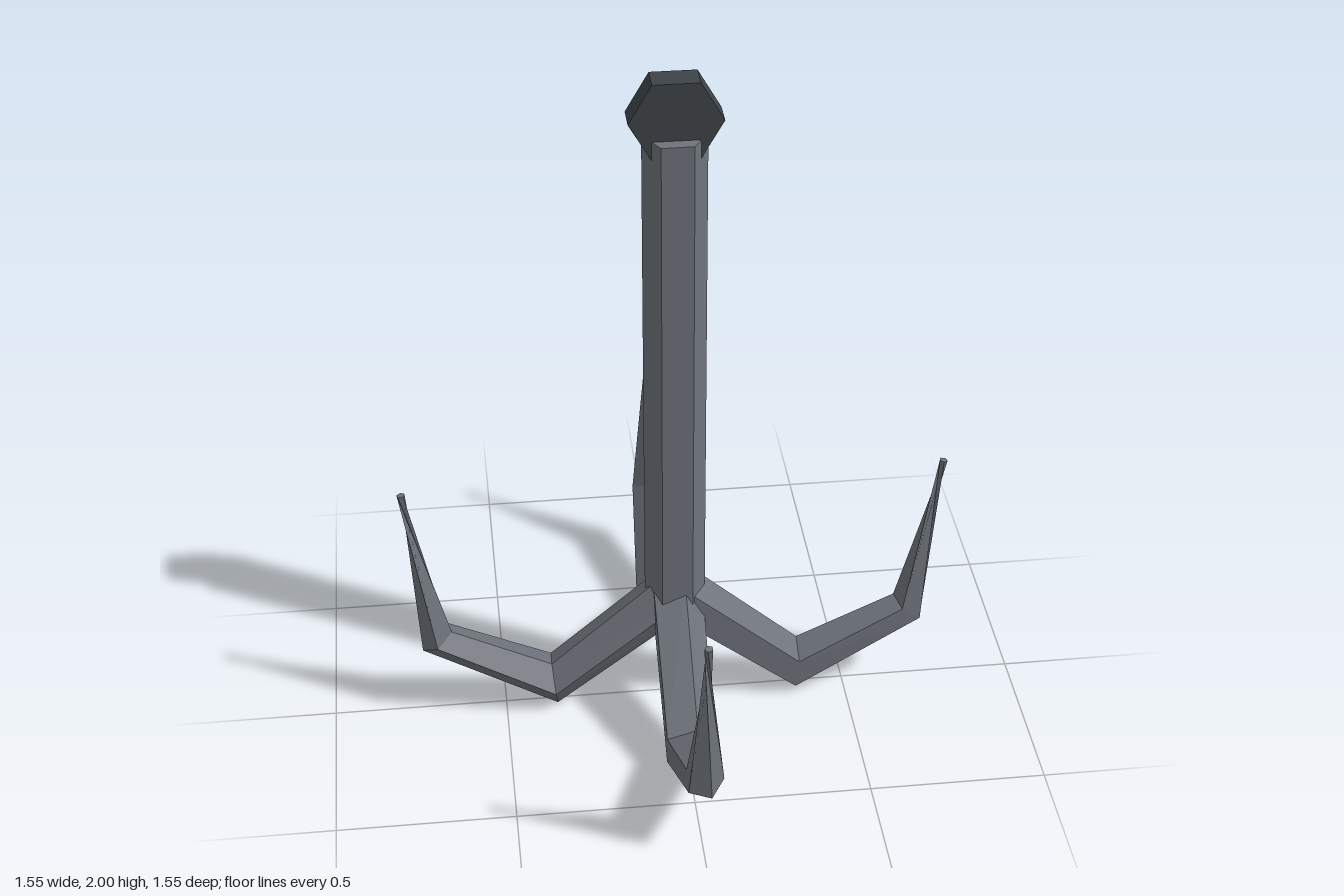
import * as THREE from 'three';

const SIDES = 5;

// Arm stations in the x-y plane: x, y, radius. The negative last radius
// turns the tip ring half a turn, so the claw pinches just below its end.
const STATIONS = [
  [0, 0.37, 0.08],
  [0.357, 0.074, 0.077],
  [0.691, 0.256, 0.055],
  [0.766, 0.766, -0.012],
];

function armGeometry() {
  const pts = STATIONS.map(([x, y]) => new THREE.Vector2(x, y));
  const dirs = pts.slice(1).map((p, i) => p.clone().sub(pts[i]).normalize());
  const rings = STATIONS.map(([x, y, r], i) => {
    // Average direction of the two neighbouring segments
    const t = dirs[Math.max(i - 1, 0)].clone().add(dirs[Math.min(i, dirs.length - 1)]).normalize();
    return Array.from({ length: SIDES }, (_, j) => {
      const a = (j / SIDES) * Math.PI * 2;
      const up = r * Math.sin(a);
      return [x - t.y * up, y + t.x * up, -r * Math.cos(a)];
    });
  });
  const pos = [];
  const tri = (a, b, c) => pos.push(...a, ...b, ...c);
  for (let i = 0; i < rings.length - 1; i++) {
    for (let j = 0; j < SIDES; j++) {
      const k = (j + 1) % SIDES;
      tri(rings[i][j], rings[i][k], rings[i + 1][k]);
      tri(rings[i][j], rings[i + 1][k], rings[i + 1][j]);
    }
  }
  // End caps
  const first = rings[0], last = rings[rings.length - 1];
  for (let j = 1; j < SIDES - 1; j++) {
    tri(first[0], first[j + 1], first[j]);
    tri(last[0], last[j], last[j + 1]);
  }
  const geo = new THREE.BufferGeometry();
  geo.setAttribute('position', new THREE.Float32BufferAttribute(pos, 3));
  geo.computeVertexNormals();
  return geo;
}

export function createModel() {
  const model = new THREE.Group();
  model.name = 'grapplingHook';

  const steel = new THREE.MeshStandardMaterial({ color: 0x6e737b, flatShading: true });
  steel.name = 'steel grey';
  const dark = new THREE.MeshStandardMaterial({ color: 0x3e4348, flatShading: true });
  dark.name = 'dark iron';

  const add = (name, geo, mat) => {
    const mesh = new THREE.Mesh(geo, mat);
    mesh.name = name;
    model.add(mesh);
    return mesh;
  };

  // Six-sided shaft with corners on the x axis
  const shaftBottom = 0.37, shaftTop = 1.84;
  const shaft = new THREE.CylinderGeometry(0.087, 0.087, shaftTop - shaftBottom, 6, 1, false, Math.PI / 2);
  add('shaft', shaft, steel).position.y = (shaftBottom + shaftTop) / 2;

  // Six-sided end plate standing on the shaft
  const plate = new THREE.CylinderGeometry(0.125, 0.125, 0.078, 6, 1, false, Math.PI / 2);
  plate.rotateX(Math.PI / 2);
  add('endPlate', plate, dark).position.y = 1.892;

  // Four identical claws around the shaft
  const arm = armGeometry();
  ['leftClaw', 'backClaw', 'rightClaw', 'frontClaw'].forEach((name, i) => {
    add(name, arm, steel).rotation.y = (i * Math.PI) / 2;
  });

  return model;
}
